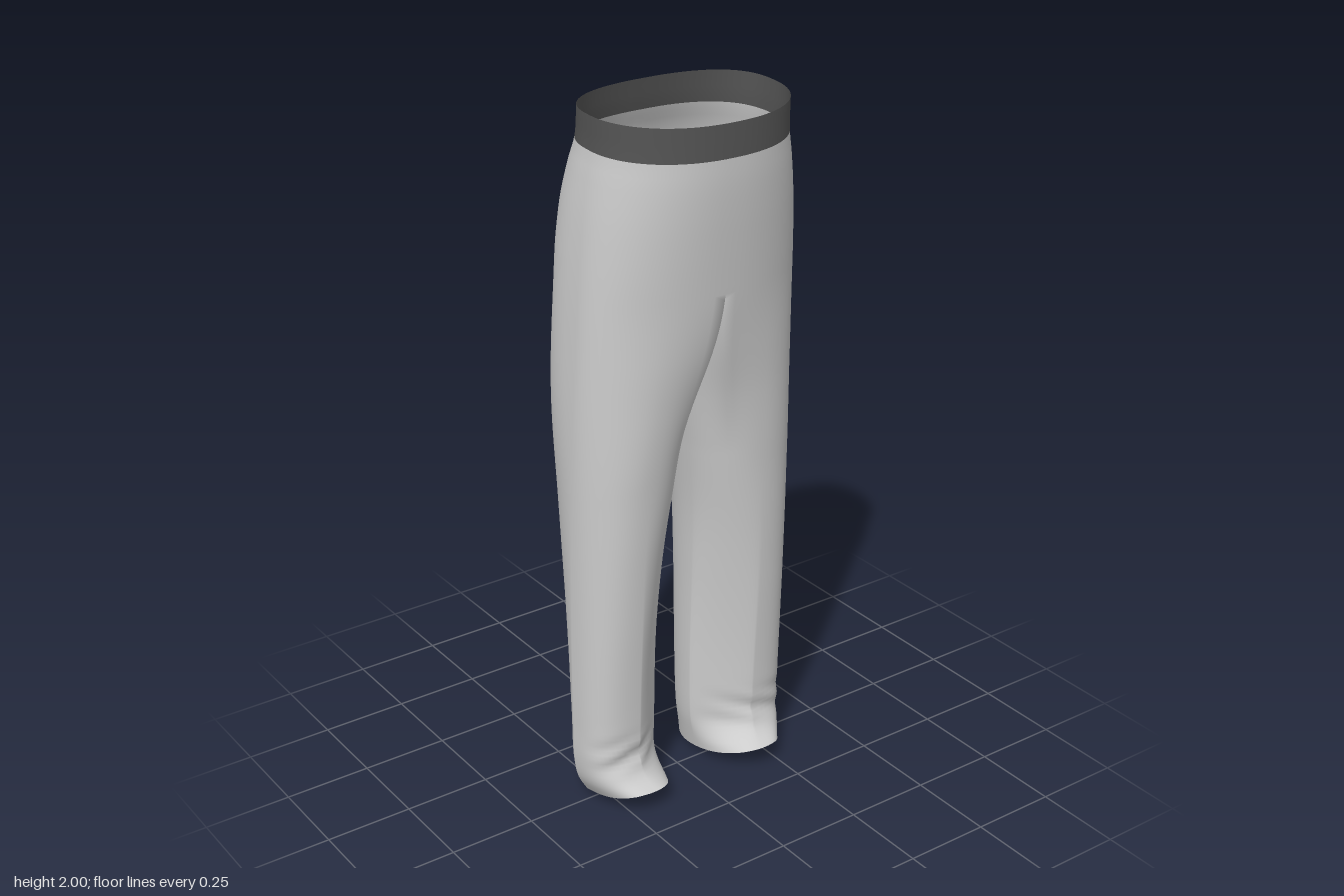
import * as THREE from 'three';
import { mergeVertices } from 'three/addons/utils/BufferGeometryUtils.js';

const CROTCH = 1.52, WAIST = 1.9, TOP = 1.99;

// Outline of one side by height: y, inner x, outer x, front z, back z
const KEYS = [
  [0.00, 0.085, 0.294, 0.168, -0.187],
  [0.05, 0.076, 0.320, 0.130, -0.188],
  [0.11, 0.067, 0.332, 0.104, -0.190],
  [0.25, 0.063, 0.335, 0.105, -0.194],
  [0.60, 0.063, 0.338, 0.124, -0.207],
  [0.80, 0.058, 0.339, 0.136, -0.215],
  [1.00, 0.040, 0.339, 0.149, -0.225],
  [1.20, 0.018, 0.337, 0.169, -0.237],
  [1.35, 0.004, 0.333, 0.188, -0.242],
  [1.52, 0.000, 0.326, 0.206, -0.240],
  [1.65, 0.000, 0.317, 0.220, -0.239],
  [1.75, 0.000, 0.307, 0.230, -0.231],
  [1.84, 0.000, 0.294, 0.237, -0.206],
  [1.90, 0.000, 0.284, 0.239, -0.180],
  [1.99, 0.000, 0.284, 0.240, -0.158],
];
const outline = new THREE.CubicInterpolant(KEYS.map(k => k[0]), KEYS.flatMap(k => k.slice(1)), 4);

const power = (v, e) => Math.sign(v) * Math.abs(v) ** e;
const bell = (v, width) => Math.exp(-((v / width) ** 2));
const { clamp, lerp, smoothstep } = THREE.MathUtils;

// Roundness of each quarter of a leg: above 1 slants the corner off, below 1 squares it
function legPower(y, outward, forward) {
  if (outward && forward) return lerp(0.7, 1.05, smoothstep(y, 0.2, 1.4));
  if (outward) return lerp(1.7, 0.85, smoothstep(y, 0.1, CROTCH));
  if (!forward) return 0.9;
  return 0.9 + 0.7 * smoothstep(y, 0, 0.12) * (1 - smoothstep(y, 0.3, 1.1));
}

// Point on the left half: t 0..1 runs front to back round the outside, 1..2 returns along the inseam
function point(y, t) {
  let [xin, xout, zf, zb] = outline.evaluate(y);
  if (y >= CROTCH - 1e-6) xin = 0;
  const zc = lerp(-0.025, 0.02, smoothstep(y, 0.2, 1.6));
  const depth = c => zc + (c > 0 ? zf - zc : zc - zb) * c;

  // Half-body section, flat along the middle
  let hx = xin, hz = lerp(zb, zf, t - 1);
  if (t <= 1) {
    const a = Math.PI * t, c = Math.cos(a);
    const seat = lerp(0.62, 0.76, smoothstep(y, 1.6, WAIST));
    hx = xin + (xout - xin) * power(Math.sin(a), c < 0 ? 0.82 : 0.9);
    hz = depth(power(c, c < 0 ? seat : 0.95));
  }
  // Closed leg section
  const tuck = 0.7;
  const b = t <= 1 ? -tuck + t * (Math.PI + 2 * tuck)
    : Math.PI + tuck + (t - 1) * (Math.PI - 2 * tuck);
  const s = Math.sin(b), c = Math.cos(b), e = legPower(y, s > 0, c > 0);
  const lx = (xin + xout) / 2 + (xout - xin) / 2 * power(s, e);
  const lz = depth(power(c, e));

  // The legs part sooner at the front than under the seat
  const forward = (1 + Math.cos(Math.PI * t)) / 2;
  const w = 1 - smoothstep(y, CROTCH - lerp(0.65, 0.5, forward), CROTCH);
  let x = lerp(hx, lx, w);
  let z = lerp(hz, lz, w);

  // Seat seam, and gathered folds above the front hem
  if (t > 0.5 && t <= 1) z += 0.014 * bell(x, 0.07) * bell(y - 1.65, 0.14);
  const front = smoothstep(z, -0.02, 0.1);
  z += 0.006 * front * Math.sin(y * 70 + x * 32) * bell(y - 0.15, 0.06);

  // Raised front hem, sagging crotch, tilted waist
  let py = y + 0.07 * clamp((z + 0.19) / 0.355, 0, 1) ** 2 * clamp(1 - y / 0.25, 0, 1);
  if (t > 1) py -= 0.07 * Math.sin(Math.PI * (t - 1)) * clamp(1 - (CROTCH - y) / 0.5, 0, 1);
  py -= 0.055 * z * smoothstep(y, 1.55, WAIST);
  return [x, py, z];
}

// Mirrored pair of panels spanning a height range and a range of t
function addPanels(positions, indices, y0, y1, rows, t0, t1, cols) {
  for (const side of [1, -1]) {
    const base = positions.length / 3;
    for (let i = 0; i <= rows; i++) {
      const level = lerp(y0, y1, i / rows);
      // The waist sits slightly to the left of the legs
      const lean = lerp(-0.003, 0.007, smoothstep(level, 1, WAIST));
      for (let j = 0; j <= cols; j++) {
        const [x, y, z] = point(level, lerp(t0, t1, j / cols));
        positions.push(side * x + lean, y, z);
      }
    }
    for (let i = 0; i < rows; i++) {
      for (let j = 0; j < cols; j++) {
        const a = base + i * (cols + 1) + j, b = a + 1, d = a + cols + 1, c = d + 1;
        if (side > 0) indices.push(a, b, c, a, c, d);
        else indices.push(a, c, b, a, d, c);
      }
    }
  }
}

function clothMesh(name, color, panels) {
  const positions = [], indices = [];
  panels.forEach(p => addPanels(positions, indices, ...p));
  let geometry = new THREE.BufferGeometry();
  geometry.setAttribute('position', new THREE.Float32BufferAttribute(positions, 3));
  geometry.setIndex(indices);
  geometry = mergeVertices(geometry, 1e-4);
  geometry.computeVertexNormals();
  const mesh = new THREE.Mesh(geometry,
    new THREE.MeshStandardMaterial({ color, side: THREE.DoubleSide }));
  mesh.name = name;
  return mesh;
}

export function createModel() {
  const model = new THREE.Group();
  model.name = 'trousers';

  // Legs with inseams, and the hips above the crotch
  model.add(clothMesh('legsAndHips', 0xcccccc, [
    [0, CROTCH, 90, 0, 1, 40],
    [0, CROTCH, 90, 1, 2, 18],
    [CROTCH, WAIST, 20, 0, 1, 40],
  ]));

  // Dark elastic waistband
  model.add(clothMesh('waistband', 0x555555, [[WAIST, TOP, 4, 0, 1, 40]]));
  return model;
}
